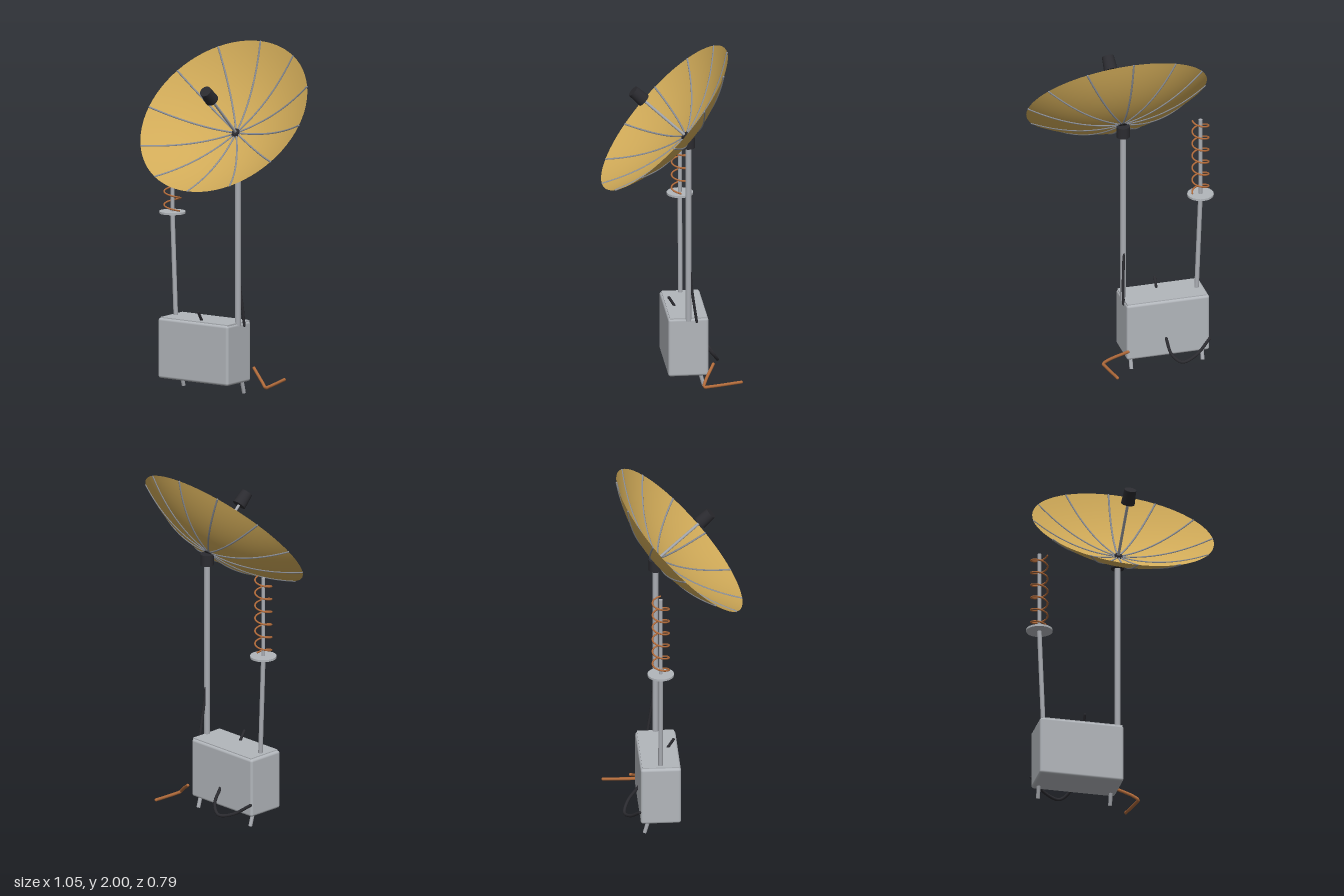
import * as THREE from 'three';
import { RoundedBoxGeometry } from 'three/addons/geometries/RoundedBoxGeometry.js';

const V = (x, y, z) => new THREE.Vector3(x, y, z);
const mat = (name, color, side = THREE.FrontSide) => {
  const m = new THREE.MeshStandardMaterial({ color, side });
  m.name = name;
  return m;
};

export function createModel() {
  const gold = mat('gold', 0xd0aa58, THREE.DoubleSide);
  const casing = mat('casingGrey', 0xb2b6bb);
  const metal = mat('poleGrey', 0xa9acb2);
  const ribGrey = mat('ribGrey', 0x8b8f97);
  const black = mat('black', 0x2b2b30);
  const copper = mat('copper', 0xb06a3a);

  const root = new THREE.Group();
  root.name = 'dishAntenna';

  const add = (name, geometry, material, parent = root) => {
    const mesh = new THREE.Mesh(geometry, material);
    mesh.name = name;
    parent.add(mesh);
    return mesh;
  };
  // Straight round bar between two points
  const rod = (name, a, b, r0, r1, material, parent = root) => {
    const d = b.clone().sub(a);
    const mesh = add(name, new THREE.CylinderGeometry(r1, r0, d.length(), 24), material, parent);
    mesh.position.copy(a).addScaledVector(d, 0.5);
    mesh.quaternion.setFromUnitVectors(V(0, 1, 0), d.normalize());
    return mesh;
  };
  // Bent wire with closed ends
  const wire = (name, points, r, material, parent = root, steps = 40) => {
    const curve = new THREE.CatmullRomCurve3(points, false, 'centripetal');
    add(name, new THREE.TubeGeometry(curve, steps, r, 10), material, parent);
    for (const p of [points[0], points[points.length - 1]]) {
      add(name + 'End', new THREE.SphereGeometry(r, 10, 8), material, parent).position.copy(p);
    }
  };

  // Equipment box, lid and two rear feet
  add('box', new RoundedBoxGeometry(0.485, 0.345, 0.228, 3, 0.015), casing).position.set(-0.2325, 0.2425, -0.1);
  add('lid', new THREE.BoxGeometry(0.465, 0.012, 0.208), casing).position.set(-0.2275, 0.414, -0.1);
  for (const x of [-0.44, -0.022]) {
    rod('foot', V(x, 0.003, -0.19), V(x, 0.09, -0.165), 0.011, 0.011, metal);
  }

  // Main mast and its head
  rod('mast', V(0, 0.4, -0.1), V(0, 1.47, -0.1), 0.017, 0.017, metal);
  rod('mastHead', V(0, 1.437, -0.1), V(0, 1.502, -0.1), 0.038, 0.038, black);

  // Side pole, plate and coil
  const px = -0.453;
  rod('sidePole', V(-0.43, 0.41, -0.1), V(px, 1.0, -0.1), 0.013, 0.013, metal);
  rod('coilPlate', V(px, 1.0, -0.1), V(px, 1.012, -0.1), 0.075, 0.075, casing);
  rod('coilRod', V(px, 1.0, -0.1), V(px, 1.48, -0.1), 0.011, 0.011, metal);
  const coil = [];
  const turns = 6;
  for (let i = 0; i <= turns * 16; i++) {
    const a = (i / 16) * Math.PI * 2;
    coil.push(V(px + 0.047 * Math.cos(a), 1.017 + 0.46 * i / (turns * 16), -0.1 + 0.047 * Math.sin(a)));
  }
  wire('coil', coil, 0.005, copper, root, 240);

  // Dish: parabola about its own y axis, tilted forward
  const R = 0.52, depth = 0.165;
  const dish = new THREE.Group();
  dish.name = 'dish';
  dish.position.set(0, 1.507, -0.085);
  dish.rotation.x = Math.atan2(0.73, 0.683);
  root.add(dish);
  const bowl = (r) => depth * (r / R) ** 2;
  const profile = [];
  for (let i = 0; i <= 20; i++) profile.push(new THREE.Vector2(R * i / 20, bowl(R * i / 20)));
  add('reflector', new THREE.LatheGeometry(profile, 72), gold, dish);

  // Twelve radial ribs following the bowl
  for (let k = 0; k < 12; k++) {
    const a = k * Math.PI / 6;
    const pts = [];
    for (let i = 0; i <= 8; i++) {
      const r = (R - 0.003) * i / 8;
      pts.push(V(r * Math.sin(a), bowl(r), r * Math.cos(a)));
    }
    wire('rib', pts, 0.0055, ribGrey, dish, 20);
  }

  // Feed boom, collar and feed horn
  rod('boomCollar', V(0, -0.008, 0), V(0, 0.012, 0), 0.025, 0.022, black, dish);
  rod('feedBoom', V(0, 0, 0), V(0, 0.34, 0), 0.008, 0.008, metal, dish);
  rod('feedHorn', V(0, 0.325, 0), V(0, 0.41, 0), 0.039, 0.034, black, dish);

  // Cables
  wire('rearCable', [V(-0.22, 0.18, -0.21), V(-0.235, 0.105, -0.27), V(-0.29, 0.06, -0.295),
    V(-0.38, 0.08, -0.27), V(-0.472, 0.145, -0.22)], 0.009, black);
  wire('mastCable', [V(0, 0.7, -0.11), V(0.004, 0.6, -0.118), V(0.01, 0.5, -0.131),
    V(0.011, 0.397, -0.146)], 0.008, black);
  wire('lidCable', [V(-0.21, 0.468, -0.012), V(-0.21, 0.44, -0.03), V(-0.21, 0.405, -0.052)], 0.008, black);
  wire('groundWire', [V(0.012, 0.14, -0.24), V(0.11, 0.075, -0.185), V(0.138, 0.05, -0.175),
    V(0.135, 0.05, -0.215), V(0.116, 0.063, -0.388)], 0.009, copper);

  return root;
}
